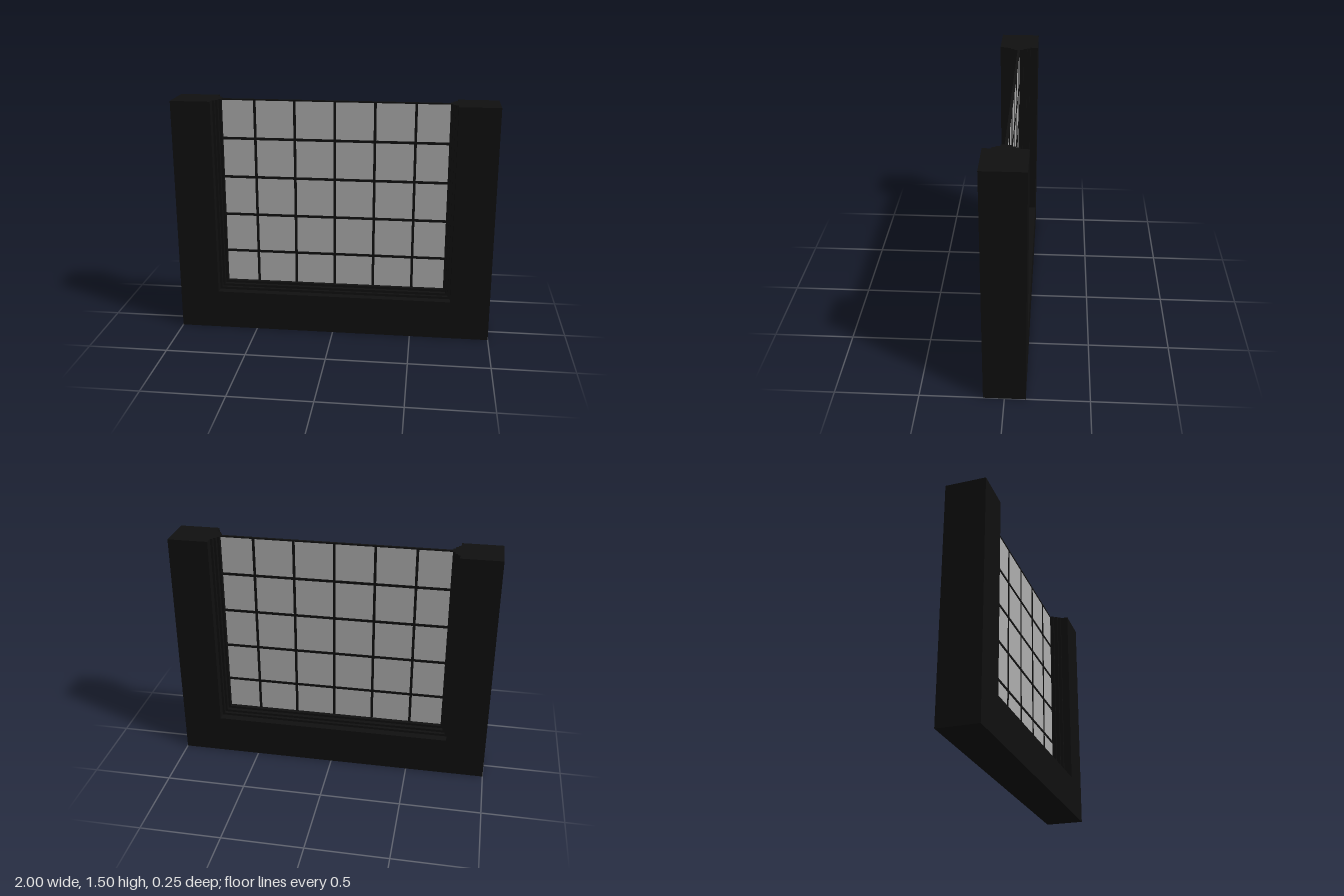
import * as THREE from 'three';

const frameMat = new THREE.MeshStandardMaterial({ color: 0x101010 });
frameMat.name = 'black frame';
const glassMat = new THREE.MeshStandardMaterial({ color: 0xb0b0b0 });
glassMat.name = 'grey glass';

const TOP = 1.5;

// U-shaped slab, open at the top, centred on z = 0
function uShape(outer, outerY, inner, innerY, depth) {
  const s = new THREE.Shape([
    [-outer, TOP], [-outer, outerY], [outer, outerY], [outer, TOP],
    [inner, TOP], [inner, innerY], [-inner, innerY], [-inner, TOP],
  ].map(([x, y]) => new THREE.Vector2(x, y)));
  const g = new THREE.ExtrudeGeometry(s, { depth, bevelEnabled: false });
  return g.translate(0, 0, -depth / 2);
}

export function createModel() {
  const root = new THREE.Group();
  const add = (name, geometry, material, x = 0, y = 0) => {
    const m = new THREE.Mesh(geometry, material);
    m.name = name;
    m.position.set(x, y, 0);
    root.add(m);
  };

  // Wall posts and sill, then the stepped moulding inside the opening
  add('outerFrame', uShape(1, 0, 0.75, 0.25, 0.25), frameMat);
  add('outerMoulding', uShape(0.75, 0.25, 0.735, 0.265, 0.15), frameMat);
  add('middleMoulding', uShape(0.735, 0.265, 0.72, 0.28, 0.11), frameMat);
  add('innerMoulding', uShape(0.72, 0.28, 0.705, 0.295, 0.06), frameMat);

  // Single glass sheet
  const h = TOP - 0.295;
  add('glass', new THREE.BoxGeometry(1.41, h - 0.004, 0.008), glassMat, 0, 0.295 + h / 2 - 0.002);

  // Lattice bars
  const bar = 0.016;
  for (let i = -2; i <= 2; i++) {
    add('verticalBar', new THREE.BoxGeometry(bar, h, 0.016), frameMat, i * 0.25, 0.295 + h / 2);
  }
  for (let i = 0; i < 4; i++) {
    add('horizontalBar', new THREE.BoxGeometry(1.41, bar, 0.016), frameMat, 0, 0.5 + i * 0.25);
  }
  add('topBar', new THREE.BoxGeometry(1.41, bar / 2, 0.016), frameMat, 0, TOP - bar / 4);

  return root;
}
